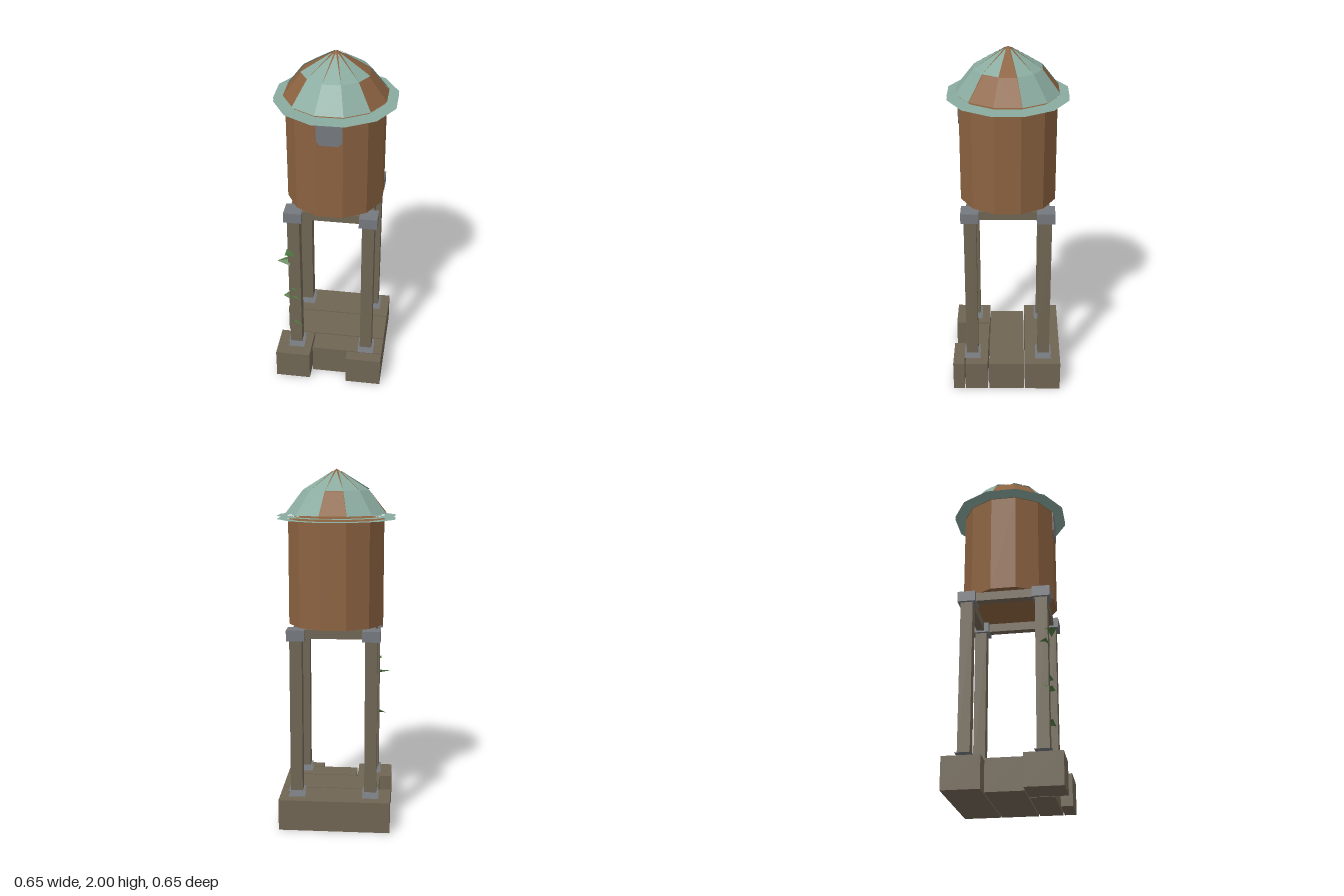
import * as THREE from 'three';

const make = (name, color) => {
  const m = new THREE.MeshStandardMaterial({ color, flatShading: true, side: THREE.DoubleSide });
  m.name = name;
  return m;
};

export function createModel() {
  const wood = make('tank wood', 0x8b6240);
  const copper = make('weathered copper', 0x8aaba0);
  const timber = make('grey timber', 0x6f6554);
  const steel = make('steel', 0x75787d);
  const leaf = make('leaf green', 0x4f7842);

  const model = new THREE.Group();
  model.name = 'waterTower';
  const add = (name, geometry, material, x = 0, y = 0, z = 0) => {
    const mesh = new THREE.Mesh(geometry, material);
    mesh.name = name;
    mesh.position.set(x, y, z);
    model.add(mesh);
    return mesh;
  };
  // Box from its lower and upper limits
  const box = (name, material, x0, x1, y0, y1, z0, z1) =>
    add(name, new THREE.BoxGeometry(x1 - x0, y1 - y0, z1 - z0), material,
      (x0 + x1) / 2, (y0 + y1) / 2, (z0 + z1) / 2);
  // Surface from separate triangles
  const triangles = (name, material, points) => {
    const g = new THREE.BufferGeometry();
    g.setAttribute('position', new THREE.Float32BufferAttribute(points.flat(), 3));
    g.computeVertexNormals();
    return add(name, g, material);
  };

  // Staggered foundation blocks: x0, x1, z0, z1
  [
    [-0.32, 0.305, -0.308, -0.102],
    [-0.25, 0.305, -0.095, 0.11],
    [-0.32, -0.118, 0.115, 0.32],
    [-0.11, 0.305, 0.118, 0.248],
    [0.1, 0.305, 0.255, 0.32],
  ].forEach(([x0, x1, z0, z1]) => box('foundationBlock', timber, x0, x1, 0, 0.178, z0, z1));

  // Posts with open-sided foot plates and steel caps
  const P = 0.208;
  for (const sx of [-1, 1]) {
    for (const sz of [-1, 1]) {
      const x = sx * P, z = sz * P;
      box('post', timber, x - 0.034, x + 0.034, 0.215, 1.1, z - 0.034, z + 0.034);
      box('postCap', steel, x - 0.05, x + 0.05, 1.083, 1.143, z - 0.05, z + 0.05);
      for (const y of [0.181, 0.214]) {
        const plate = add('footPlate', new THREE.PlaneGeometry(0.092, 0.092), steel, x, y, z);
        plate.rotation.x = -Math.PI / 2;
      }
    }
  }

  // Beams joining the caps
  for (const s of [-1, 1]) {
    box('crossBeam', timber, -0.16, 0.16, 1.093, 1.143, s * P - 0.022, s * P + 0.022);
    box('sideBeam', timber, s * P - 0.022, s * P + 0.022, 1.093, 1.143, -0.16, 0.16);
  }

  // Twelve-sided tank with a flat side to the front
  const turn = Math.PI / 12;
  add('tank', new THREE.CylinderGeometry(0.272, 0.272, 0.585, 12, 1, false, turn), wood, 0, 1.4375, 0);

  // Steel hatch plate with clipped lower corners
  const hatch = new THREE.Shape([
    [-0.069, 1.73], [-0.069, 1.61], [-0.05, 1.585], [0.05, 1.585], [0.069, 1.61], [0.069, 1.73],
  ].map(([x, y]) => new THREE.Vector2(x, y)));
  add('hatch', new THREE.ExtrudeGeometry(hatch, { depth: 0.006, bevelEnabled: false }), steel, 0, 0, 0.262);

  // Flat eave rings
  for (const y of [1.731, 1.748]) {
    const ring = add('eaveRing', new THREE.RingGeometry(0.275, 0.336, 12, 1, turn), copper, 0, y, 0);
    ring.rotation.x = -Math.PI / 2;
  }

  // Wooden roof deck
  const deck = [[0.283, 1.76], [0.183, 1.885], [0, 2]].map(([r, y]) => new THREE.Vector2(r, y));
  add('roofDeck', new THREE.LatheGeometry(deck, 12, turn), wood);

  // Copper roof panels, some of them missing
  const t = Math.tan(turn), c = Math.cos(turn);
  const panel = (name, k, [r0, y0, w0], [r1, y1, w1]) => {
    const a = k * Math.PI / 6;
    const at = (w, y, r) => [r * Math.sin(a) + w * Math.cos(a), y, r * Math.cos(a) - w * Math.sin(a)];
    const A = at(-w0, y0, r0), B = at(w0, y0, r0), C = at(w1, y1, r1), D = at(-w1, y1, r1);
    triangles(name, copper, [A, B, C, A, C, D]);
  };
  const eave = [0.288 * c, 1.76, 0.288 * c * t];
  const knee = [0.188 * c, 1.889, 0.188 * c * t];
  for (let k = 0; k < 12; k++) {
    if (![2, 3, 6, 9, 10].includes(k)) panel('lowerRoofPanel', k, eave, knee);
    if (![3, 9].includes(k)) panel('upperRoofPanel', k, knee, [0.027, 1.988, 0.002]);
  }

  // Vine leaves on one front post: tip, then the middle of the base, then half width
  [
    [[-0.25, 0.885, 0.293], [-0.222, 0.87, 0.242], 0.032],
    [[-0.305, 0.805, 0.24], [-0.235, 0.8, 0.225], 0.03],
    [[-0.18, 0.61, 0.262], [-0.22, 0.605, 0.235], 0.02],
    [[-0.28, 0.545, 0.225], [-0.238, 0.555, 0.225], 0.024],
    [[-0.165, 0.555, 0.268], [-0.21, 0.55, 0.24], 0.022],
    [[-0.155, 0.36, 0.268], [-0.21, 0.365, 0.24], 0.02],
  ].forEach(([tip, base, w]) => {
    const dx = tip[0] - base[0], dz = tip[2] - base[2], n = w / Math.hypot(dx, dz);
    const l = [base[0] - dz * n, base[1] + 0.014, base[2] + dx * n];
    const r = [base[0] + dz * n, base[1] - 0.014, base[2] - dx * n];
    const ridge = [base[0], base[1] + 0.012, base[2]];
    triangles('vineLeaf', leaf, [tip, ridge, l, tip, r, ridge]);
  });

  return model;
}
